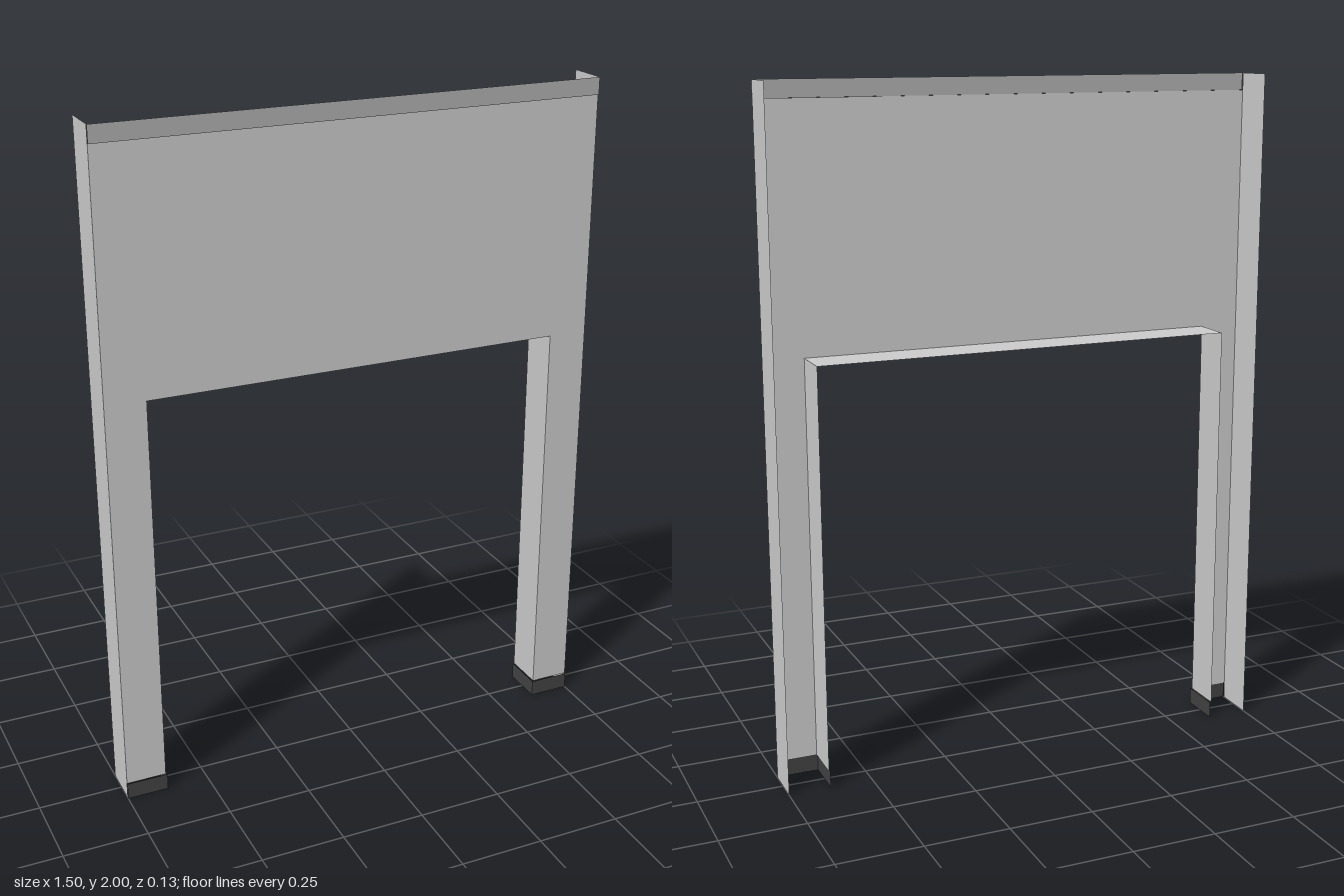
import * as THREE from 'three';

const W = 0.75;       // half width of the frame
const OPEN = 0.63;    // half width of the opening
const LINTEL = 1.24;  // height of the opening
const H = 2, BAND = 0.05;
const FACE = 0.06, FRONT = 0.064, BACK = -0.064;

const sheet = (color) => new THREE.MeshStandardMaterial({ color, side: THREE.DoubleSide });

export function createModel() {
  const group = new THREE.Group();
  const grey = sheet(0xcccccc), trim = sheet(0xafafaf), dark = sheet(0x424242);

  const add = (name, geometry, material) => {
    const mesh = new THREE.Mesh(geometry, material);
    mesh.name = name;
    group.add(mesh);
    return mesh;
  };
  // Upright sheet facing the front
  const frontSheet = (name, x0, x1, y0, y1, z, material) =>
    add(name, new THREE.PlaneGeometry(x1 - x0, y1 - y0), material)
      .position.set((x0 + x1) / 2, (y0 + y1) / 2, z);
  // Upright sheet facing sideways
  const sideSheet = (name, x, y0, y1, z0, z1, dir, material) =>
    add(name, new THREE.PlaneGeometry(z1 - z0, y1 - y0).rotateY(dir * Math.PI / 2), material)
      .position.set(x, (y0 + y1) / 2, (z0 + z1) / 2);

  // Front panel with its two legs, cut from one sheet
  const outline = new THREE.Shape([
    [-W, BAND], [-OPEN, BAND], [-OPEN, LINTEL], [OPEN, LINTEL],
    [OPEN, BAND], [W, BAND], [W, H - BAND], [-W, H - BAND],
  ].map(([x, y]) => new THREE.Vector2(x, y)));
  add('frontPanel', new THREE.ShapeGeometry(outline), grey).position.z = FACE;

  // Trim strip along the top edge
  frontSheet('topTrim', -W, W, H - BAND, H, FRONT, trim);

  // Underside of the opening
  const depth = FACE - BACK;
  add('lintelSoffit', new THREE.PlaneGeometry(2 * OPEN, depth).rotateX(Math.PI / 2), grey)
    .position.set(0, LINTEL, (FACE + BACK) / 2);

  // Outer sides, inner jambs and dark skirting, mirrored
  for (const [s, side] of [[1, 'left'], [-1, 'right']]) {
    const inner = s * (OPEN - 0.004);
    sideSheet(side + 'OuterSide', s * W, 0, H, BACK, FACE, s, grey);
    sideSheet(side + 'Jamb', s * OPEN, BAND, LINTEL, BACK, FACE, -s, grey);
    frontSheet(side + 'FrontSkirting', Math.min(inner, s * W), Math.max(inner, s * W), 0, BAND, FRONT, dark);
    sideSheet(side + 'InnerSkirting', inner, 0, BAND, BACK, FRONT, -s, dark);
  }
  return group;
}
